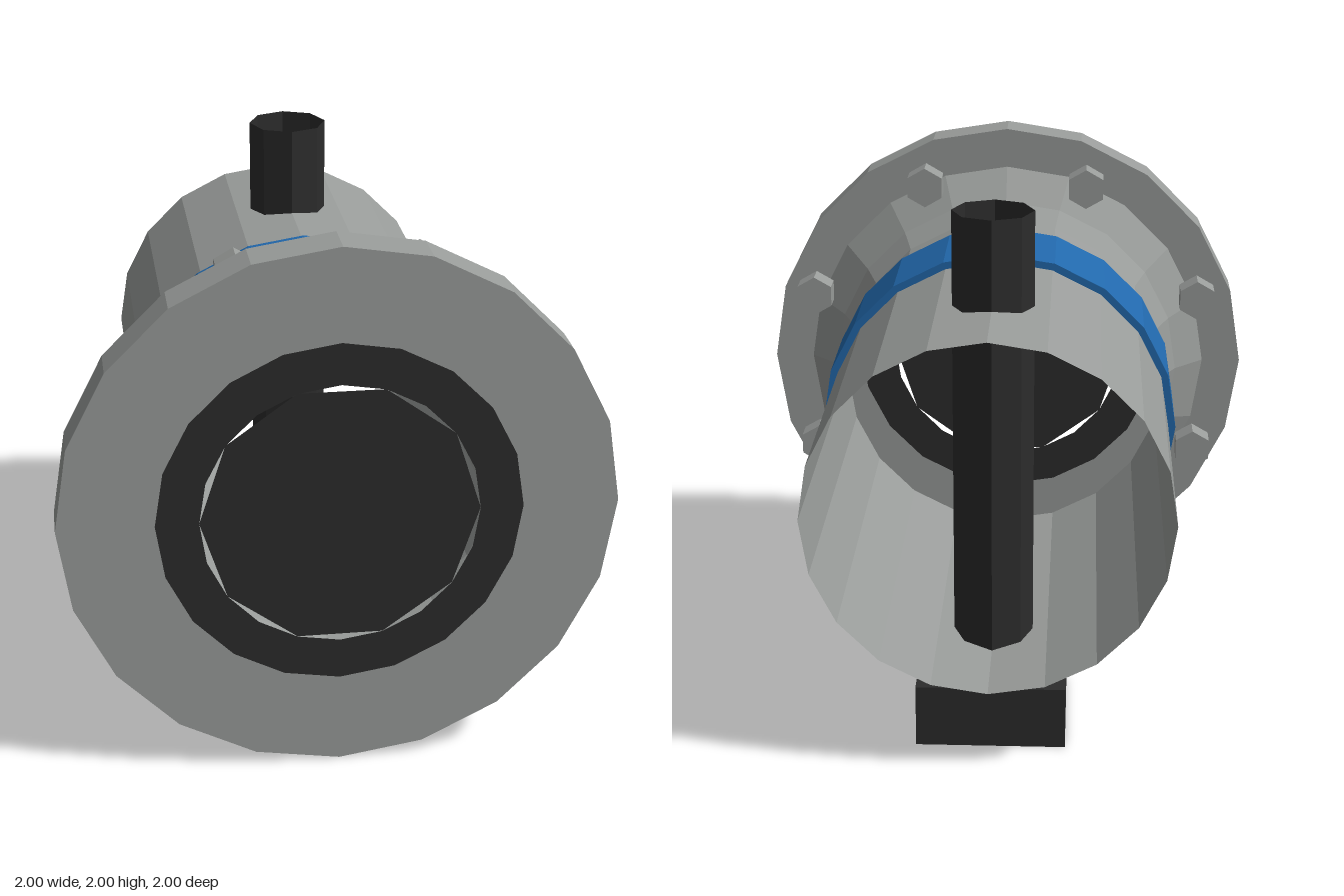
import * as THREE from 'three';

const mat = (name, color) => new THREE.MeshStandardMaterial({ name, color, side: THREE.DoubleSide });

// Faceted mesh: split the faces so that each gets its own flat normal
function part(name, geometry, material) {
  const g = geometry.index ? geometry.toNonIndexed() : geometry;
  g.computeVertexNormals();
  const mesh = new THREE.Mesh(g, material);
  mesh.name = name;
  return mesh;
}

// 20-sided turned shape along z, from [radius, z] pairs
const turned = (points) =>
  new THREE.LatheGeometry(points.map(([r, z]) => new THREE.Vector2(r, z)), 20).rotateX(Math.PI / 2);

export function createModel() {
  const steel = mat('steel grey', 0x999c9a);
  const blue = mat('band blue', 0x2269ad);
  const dark = mat('dark rubber', 0x2c2c2c);

  const model = new THREE.Group();
  model.name = 'flangedPipe';

  // Horizontal pipe assembly, centred on its own axis
  const pipe = new THREE.Group();
  pipe.name = 'pipeAssembly';
  pipe.position.y = 1;
  model.add(pipe);

  // Open-ended barrel flaring into the front flange
  pipe.add(part('barrelAndFlange', turned([
    [0.667, -1], [0.667, 0.62], [0.72, 0.72], [0.84, 0.84], [1, 0.84], [1, 1], [0.655, 1],
  ]), steel));

  // Coloured band around the barrel
  pipe.add(part('band', turned([[0.667, 0], [0.695, 0], [0.695, 0.4], [0.667, 0.4]]), blue));

  // Flush seal ring and coarser centre disc in the flange mouth
  pipe.add(part('sealRing', turned([[0.655, 1], [0.5, 1]]), dark));
  pipe.add(part('centreDisc', new THREE.CircleGeometry(0.5, 10).translate(0, 0, 0.998), dark));

  // Eight hexagonal bolts in a circle behind the flange
  for (let i = 0; i < 8; i++) {
    const a = (i + 0.5) * Math.PI / 4;
    const bolt = part('bolt', new THREE.CylinderGeometry(0.081, 0.081, 0.1, 6).rotateX(Math.PI / 2), steel);
    bolt.position.set(0.865 * Math.cos(a), 0.865 * Math.sin(a), 0.67);
    pipe.add(bolt);
  }

  // Open vertical tube running through the barrel
  const tube = part('verticalTube', new THREE.CylinderGeometry(0.15, 0.15, 1.76, 8, 1, true), dark);
  tube.position.set(0, 1.12, -0.5);
  model.add(tube);

  // Square foot, open below, with a top plate fitted around the tube
  const foot = new THREE.Group();
  foot.name = 'foot';
  foot.position.z = -0.5;
  const half = 0.28;
  foot.add(part('footWalls', new THREE.CylinderGeometry(half * Math.SQRT2, half * Math.SQRT2, 0.24, 4, 1, true)
    .rotateY(Math.PI / 4).translate(0, 0.12, 0), dark));
  const plate = new THREE.Shape([[-1, -1], [1, -1], [1, 1], [-1, 1]]
    .map(([x, y]) => new THREE.Vector2(x * half, y * half)));
  const hole = [];
  for (let i = 0; i < 8; i++) {
    const a = -i * Math.PI / 4;
    hole.push(new THREE.Vector2(0.15 * Math.cos(a), 0.15 * Math.sin(a)));
  }
  plate.holes.push(new THREE.Path(hole));
  foot.add(part('footTop', new THREE.ShapeGeometry(plate).rotateX(-Math.PI / 2).translate(0, 0.24, 0), dark));
  model.add(foot);

  return model;
}
